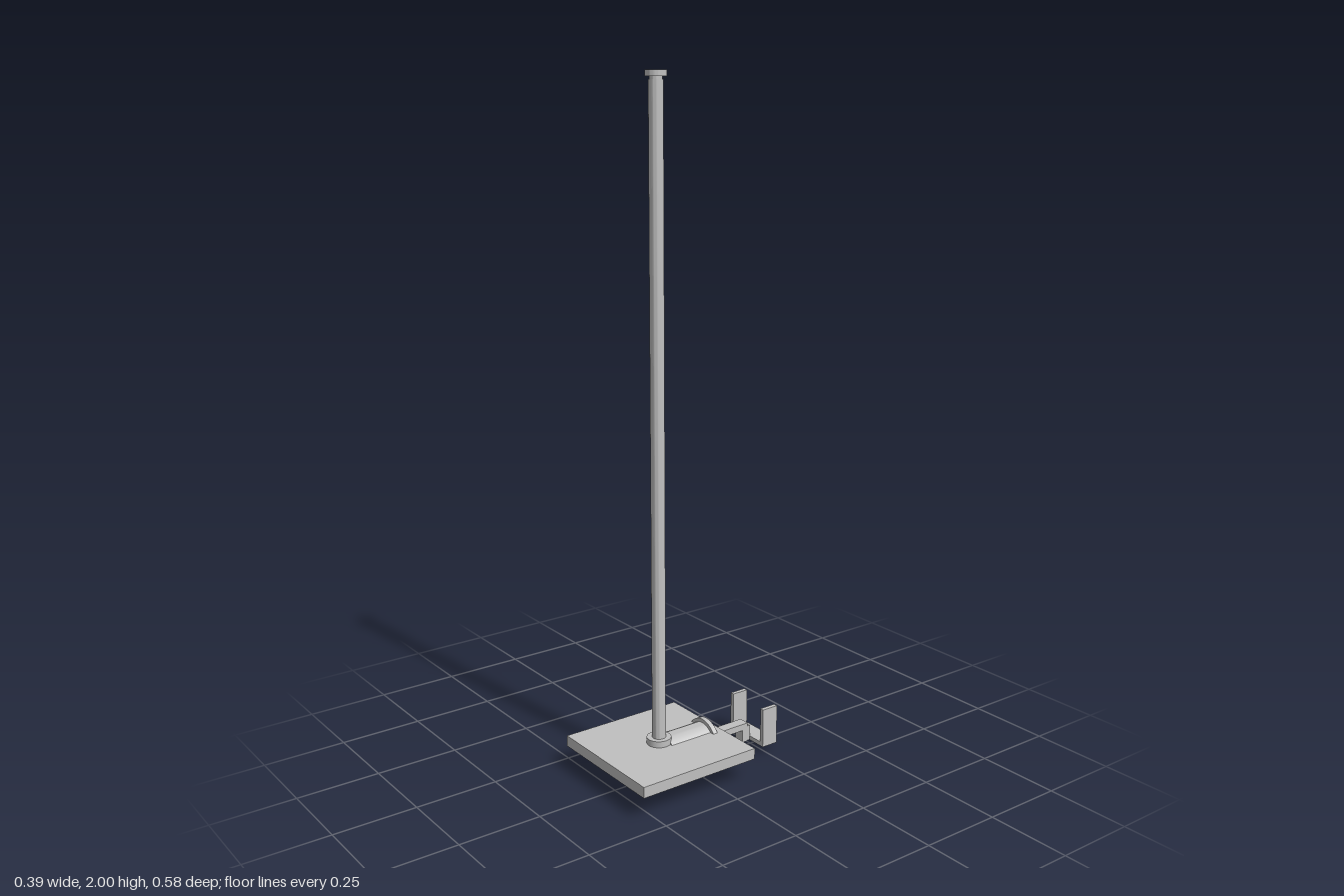
import * as THREE from 'three';
import { toCreasedNormals } from 'three/addons/utils/BufferGeometryUtils.js';

export function createModel() {
  const model = new THREE.Group();
  const metal = new THREE.MeshStandardMaterial({ color: 0xc0c0c0 });
  metal.name = 'lightGreyMetal';

  const add = (name, geometry, x, y, z) => {
    const mesh = new THREE.Mesh(geometry, metal);
    mesh.name = name;
    mesh.position.set(x, y, z);
    model.add(mesh);
    return mesh;
  };
  // Box given by its limits on each axis
  const box = (name, x0, x1, y0, y1, z0, z1) =>
    add(name, new THREE.BoxGeometry(x1 - x0, y1 - y0, z1 - z0),
      (x0 + x1) / 2, (y0 + y1) / 2, (z0 + z1) / 2);
  const lathe = (points) => toCreasedNormals(
    new THREE.LatheGeometry(points.map(([r, y]) => new THREE.Vector2(r, y)), 40), 0.6);

  // Square base plate
  box('basePlate', -0.197, 0.197, 0.071, 0.104, -0.105, 0.286);

  // Upright pole with a narrow neck and a flat cap
  const poleZ = 0.094;
  add('pole', lathe([
    [0, 0.055], [0.02, 0.055], [0.02, 1.976], [0.018, 1.976], [0.018, 1.984],
    [0.029, 1.984], [0.029, 2], [0, 2],
  ]), 0, 0, poleZ);

  // Collar where the pole meets the plate
  add('poleCollar', new THREE.CylinderGeometry(0.036, 0.036, 0.019, 40), 0, 0.1135, poleZ);

  // Hollow horizontal barrel with a flange at its rear end
  const barrel = add('flangedBarrel', lathe([
    [0.046, -0.08], [0.066, -0.08], [0.066, -0.065], [0.055, -0.065],
    [0.055, 0.076], [0.046, 0.076], [0.046, -0.08],
  ]), 0, 0.066, 0);
  barrel.rotation.x = Math.PI / 2;

  // Rear arm with a drop link
  box('rearArm', -0.017, 0.017, 0.061, 0.081, -0.225, 0.08);
  box('dropLink', -0.017, 0.017, 0.022, 0.061, -0.225, -0.205);
  box('linkTongue', -0.015, 0.015, 0.022, 0.07, -0.236, -0.225);

  // U-shaped bracket, open at the top
  box('bracketBase', -0.078, 0.078, 0.022, 0.035, -0.289, -0.235);
  for (const side of [-1, 1]) {
    const wall = box('bracketWall', -0.0065, 0.0065, 0.035, 0.143, -0.289, -0.235);
    wall.position.x = side * 0.0715;
  }
  return model;
}
